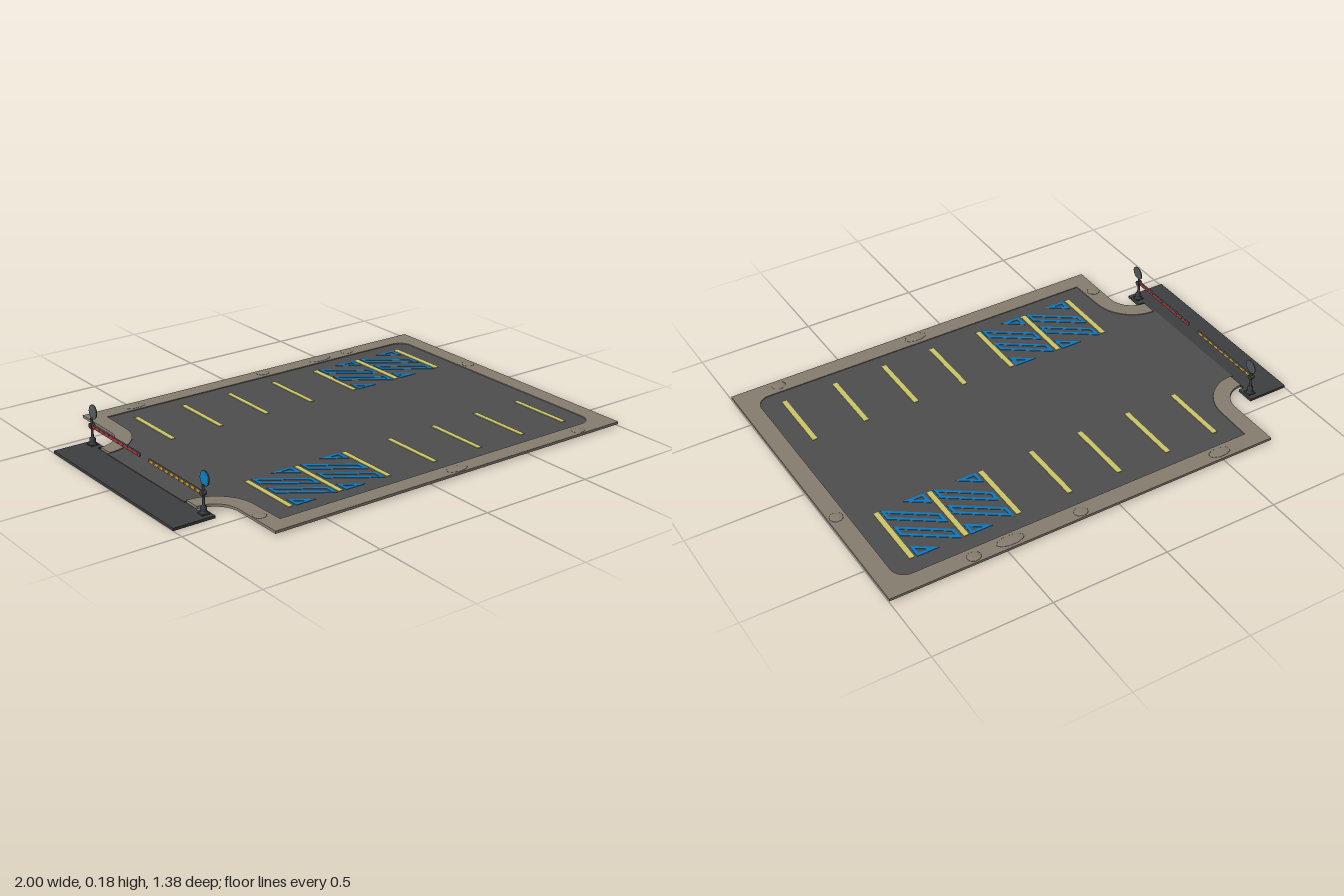
import * as THREE from 'three';

const mat = (name, color) => new THREE.MeshStandardMaterial({ name, color });

export function createModel() {
  const M = {
    asphalt: mat('asphalt', 0x4e4e4e),
    apron: mat('dark asphalt', 0x3e3f40),
    kerb: mat('kerb stone', 0x877e71),
    line: mat('yellow paint', 0xcdc868),
    blue: mat('blue paint', 0x0a7ac2),
    metal: mat('dark metal', 0x3a3e42),
    sign: mat('sign grey', 0x55585a),
    red: mat('barrier red', 0xd6202c),
    amber: mat('barrier amber', 0xd39a12),
  };
  const root = new THREE.Group();
  root.name = 'carPark';

  const add = (parent, name, geometry, material, x = 0, y = 0, z = 0) => {
    const m = new THREE.Mesh(geometry, material);
    m.name = name;
    m.position.set(x, y, z);
    parent.add(m);
    return m;
  };
  const polygon = (pts) => new THREE.Shape(pts.map(([x, y]) => new THREE.Vector2(x, y)));
  // Horizontal slab: shape coordinates are (x, z), the top face lies at y = top
  const slab = (shape, top, depth) =>
    new THREE.ExtrudeGeometry(shape, { depth, bevelEnabled: false, curveSegments: 10 })
      .rotateX(Math.PI / 2).translate(0, top, 0);

  // Inner edge of the kerb, from the +z side of the entrance round to the -z side
  const traceInner = (s) => {
    const q = Math.PI / 2;
    s.lineTo(-0.84, 0.28);
    s.absarc(-0.84, 0.46, 0.18, -q, 0, false);
    s.lineTo(-0.656, 0.617);
    s.absarc(0.865, 0.557, 0.06, q, 0, true);
    s.absarc(0.865, -0.557, 0.06, 0, -q, true);
    s.lineTo(-0.656, -0.617);
    s.absarc(-0.84, -0.46, 0.18, 0, q, false);
  };

  // Ground: asphalt, kerb ring open at the entrance, entrance apron
  const ground = new THREE.Shape();
  ground.moveTo(-0.85, -0.28);
  ground.lineTo(-0.85, 0.28);
  traceInner(ground);
  ground.closePath();
  add(root, 'asphalt', slab(ground, 0.014, 0.008), M.asphalt);

  const ring = new THREE.Shape();
  ring.moveTo(-0.84, -0.35);
  ring.absarc(-0.84, -0.46, 0.11, Math.PI / 2, 0, true);
  [[-0.73, -0.692], [1, -0.692], [1, 0.692], [-0.73, 0.692]].forEach(([x, z]) => ring.lineTo(x, z));
  ring.absarc(-0.84, 0.46, 0.11, 0, -Math.PI / 2, true);
  traceInner(ring);
  ring.closePath();
  add(root, 'kerb', slab(ring, 0.018, 0.011), M.kerb);

  const apron = polygon([
    [-1, -0.443], [-0.82, -0.443], [-0.82, -0.365], [-0.845, -0.365],
    [-0.845, 0.365], [-0.82, 0.365], [-0.82, 0.443], [-1, 0.443],
  ]);
  add(root, 'entranceApron', slab(apron, 0.011, 0.011), M.apron);

  // Low worn bumps along the kerb
  const bump = new THREE.SphereGeometry(1, 10, 4, 0, Math.PI * 2, 0, Math.PI / 2);
  [[-0.5, -0.655, 0.05], [0.16, -0.66, 0.03], [0.47, -0.655, 0.06], [0.63, -0.66, 0.03],
    [0.15, 0.66, 0.05], [0.8, 0.66, 0.03]].forEach(([x, z, r]) =>
    add(root, 'kerbBump', bump, M.kerb, x, 0.018, z).scale.set(r, 0.004, 0.026));
  [[-0.7, 0.55], [0.965, -0.2]].forEach(([x, z]) =>
    add(root, 'kerbBump', bump, M.kerb, x, 0.018, z).scale.set(0.028, 0.004, 0.028));

  // Outline of a convex polygon with a constant line width
  const outline = (pts, width) => {
    const v = pts.map(([x, y]) => new THREE.Vector2(x, y));
    const n = v.length;
    const inner = v.map((p, i) => {
      const a = p.clone().sub(v[(i + n - 1) % n]).normalize();
      const b = v[(i + 1) % n].clone().sub(p).normalize();
      const shift = b.clone().sub(a).multiplyScalar(width / Math.abs(a.cross(b)));
      return p.clone().add(shift);
    });
    const shape = new THREE.Shape(v);
    shape.holes.push(new THREE.Path(inner));
    return shape;
  };

  // Bay lines and hatched bays
  const lineX = [0, 1, 2, 3, 4, 5, 6].map((i) => -0.56 + i * 0.231);
  const hatch = [
    [[0.5, 0], [1, 0], [1, 0.22]],
    [[0, 0], [1, 0.45], [1, 0.645], [0, 0.195]],
    [[0, 0.355], [1, 0.805], [1, 1], [0, 0.55]],
    [[0, 0.79], [0.47, 1], [0, 1]],
  ];
  [[-0.4, [4, 5]], [0.407, [0, 1]]].forEach(([z, hatched]) => {
    lineX.forEach((x) =>
      add(root, 'bayLine', new THREE.BoxGeometry(0.021, 0.004, 0.288), M.line, x, 0.0145, z));
    hatched.forEach((i) => hatch.forEach((part) => {
      const pts = part.map(([u, w]) => [lineX[i] + 0.022 + u * 0.189, z - 0.147 + w * 0.294]);
      add(root, 'bayHatching', slab(outline(pts, 0.0125), 0.016, 0.003), M.blue);
    }));
  });

  // Gate posts, signs and striped arms; side = +1 or -1 along z
  const postProfile = [[0, 0], [0.017, 0], [0.017, 0.006], [0.011, 0.009], [0.013, 0.014],
    [0.013, 0.028], [0.006, 0.034], [0.005, 0.075], [0.005, 0.115], [0, 0.115]]
    .map(([r, y]) => new THREE.Vector2(r, y));
  const postGeo = new THREE.LatheGeometry(postProfile, 10);
  const armLength = 0.375;
  const stripe = new THREE.ExtrudeGeometry(
    polygon([[-0.014, -0.006], [0.006, -0.006], [0.014, 0.006], [-0.006, 0.006]]),
    { depth: 0.0015, bevelEnabled: false });

  [1, -1].forEach((side) => {
    const gate = new THREE.Group();
    gate.name = side > 0 ? 'frontGate' : 'backGate';
    gate.position.set(-0.845, 0.011, side * 0.405);
    root.add(gate);
    add(gate, 'basePlate', new THREE.BoxGeometry(0.034, 0.005, 0.034), M.metal, 0, 0.0025, 0);
    add(gate, 'post', postGeo, M.metal);
    add(gate, 'hub', new THREE.CylinderGeometry(0.011, 0.011, 0.02, 12).rotateZ(Math.PI / 2),
      M.metal, 0, 0.083, 0);

    // Round sign, slightly tilted
    const sign = new THREE.Group();
    sign.name = 'sign';
    sign.position.set(0.008, 0.138, 0);
    sign.rotation.z = -0.08;
    gate.add(sign);
    const disc = (r, h) => new THREE.CylinderGeometry(r, r, h, 28).rotateZ(Math.PI / 2);
    add(sign, 'signDisc', disc(0.03, 0.004), M.sign);
    if (side > 0) add(sign, 'signFace', disc(0.027, 0.001), M.blue, -0.0025, 0, 0);

    // Arm with rounded tip
    const mid = -side * armLength / 2;
    add(gate, 'arm', new THREE.BoxGeometry(0.006, 0.016, armLength - 0.008), M.sign, -0.002, 0.083, mid);
    add(gate, 'armTip', disc(0.008, 0.006), M.sign, -0.002, 0.083, -side * (armLength - 0.008));

    // Slanted stripes: red on one face and amber on the other
    [1, -1].forEach((face) => {
      for (let i = 0; i < 10; i++) {
        const m = add(gate, 'armStripe', stripe, face * side > 0 ? M.red : M.amber,
          -0.002 + face * 0.0025, 0.083, -side * (0.025 + i * 0.036));
        m.rotation.y = face * Math.PI / 2;
      }
    });
  });

  return root;
}
